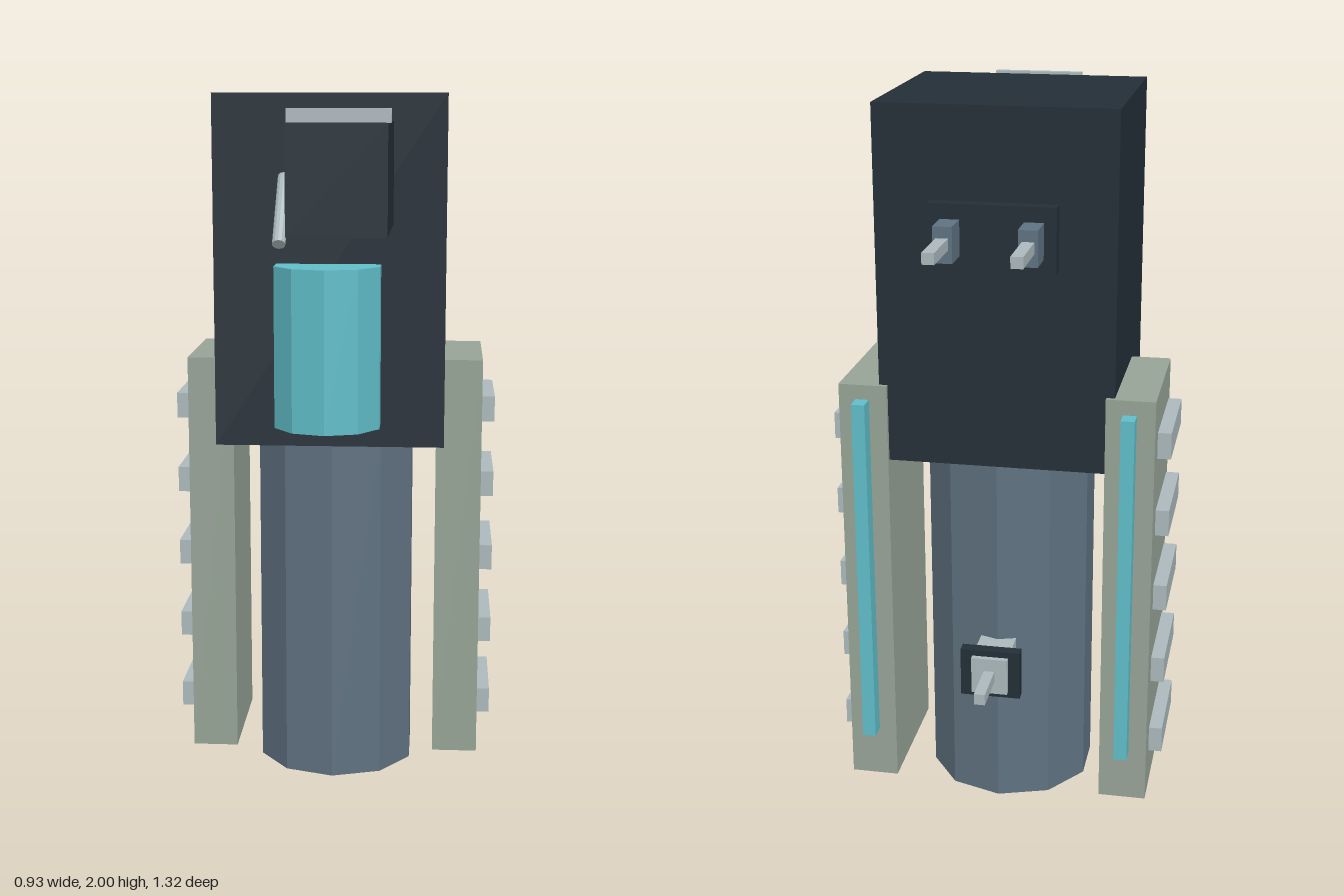
import * as THREE from 'three';

const material = (name, color) => {
  const m = new THREE.MeshStandardMaterial({ color, flatShading: true });
  m.name = name;
  return m;
};

export function createModel() {
  const dark = material('dark navy', 0x232e37);
  const slate = material('slate blue', 0x5f7180);
  const cyan = material('cyan', 0x5fbdc8);
  const sage = material('sage green', 0x96a396);
  const silver = material('light grey', 0xabb8bb);

  const model = new THREE.Group();
  model.name = 'device';

  const add = (name, geometry, mat, x, y, z) => {
    const mesh = new THREE.Mesh(geometry, mat);
    mesh.name = name;
    mesh.position.set(x, y, z);
    model.add(mesh);
    return mesh;
  };
  // Box given by its extents on each axis
  const box = (name, mat, [x0, x1], [y0, y1], [z0, z1]) =>
    add(name, new THREE.BoxGeometry(x1 - x0, y1 - y0, z1 - z0), mat,
      (x0 + x1) / 2, (y0 + y1) / 2, (z0 + z1) / 2);
  // The same box on both sides of the model
  const pair = (name, mat, [x0, x1], y, z) => {
    box(name + 'Left', mat, [x0, x1], y, z);
    box(name + 'Right', mat, [-x1, -x0], y, z);
  };

  // Head, ten-sided column below it
  box('head', dark, [-0.32, 0.32], [1.03, 2], [-0.383, 0.202]);
  add('column', new THREE.CylinderGeometry(0.2375, 0.2375, 1.03, 10), slate, 0, 0.515, -0.1375);

  // Snout with a thin bar on top
  box('snout', dark, [-0.077, 0.175], [1.65, 1.925], [0.2, 0.662]);
  box('snoutBar', silver, [-0.083, 0.18], [1.925, 1.96], [0.548, 0.57]);

  // Ten-sided canister under the snout
  add('canister', new THREE.CylinderGeometry(0.152, 0.152, 0.445, 10), cyan, -0.002, 1.318, 0.23);

  // Slanted rod beside the snout
  const rod = add('rod', new THREE.CylinderGeometry(0.018, 0.018, 0.239, 12), silver, -0.122, 1.692, 0.287);
  rod.rotation.x = -Math.PI / 4;

  // Side panels with slats and rear strips
  pair('sidePanel', sage, [0.297, 0.43], [0.047, 1.245], [-0.396, -0.007]);
  for (let i = 0; i < 5; i++) {
    const y = 0.2 + i * 0.2245;
    pair('slat' + (i + 1), silver, [0.43, 0.467], [y - 0.037, y + 0.037], [-0.324, -0.033]);
  }
  pair('rearStrip', cyan, [0.344, 0.381], [0.2, 1.207], [-0.451, -0.404]);

  // Upper rear mount with two pins
  box('upperMount', dark, [-0.168, 0.168], [1.58, 1.755], [-0.423, -0.383]);
  pair('pinBlock', slate, [0.084, 0.135], [1.62, 1.715], [-0.509, -0.423]);
  pair('pin', silver, [0.094, 0.126], [1.655, 1.685], [-0.662, -0.509]);

  // Lower rear mount with one pin
  box('lowerBlock', silver, [-0.05, 0.05], [0.4, 0.505], [-0.498, -0.35]);
  box('lowerPlate', dark, [-0.083, 0.083], [0.383, 0.522], [-0.483, -0.451]);
  box('lowerPin', silver, [-0.015, 0.015], [0.437, 0.468], [-0.629, -0.498]);

  return model;
}
